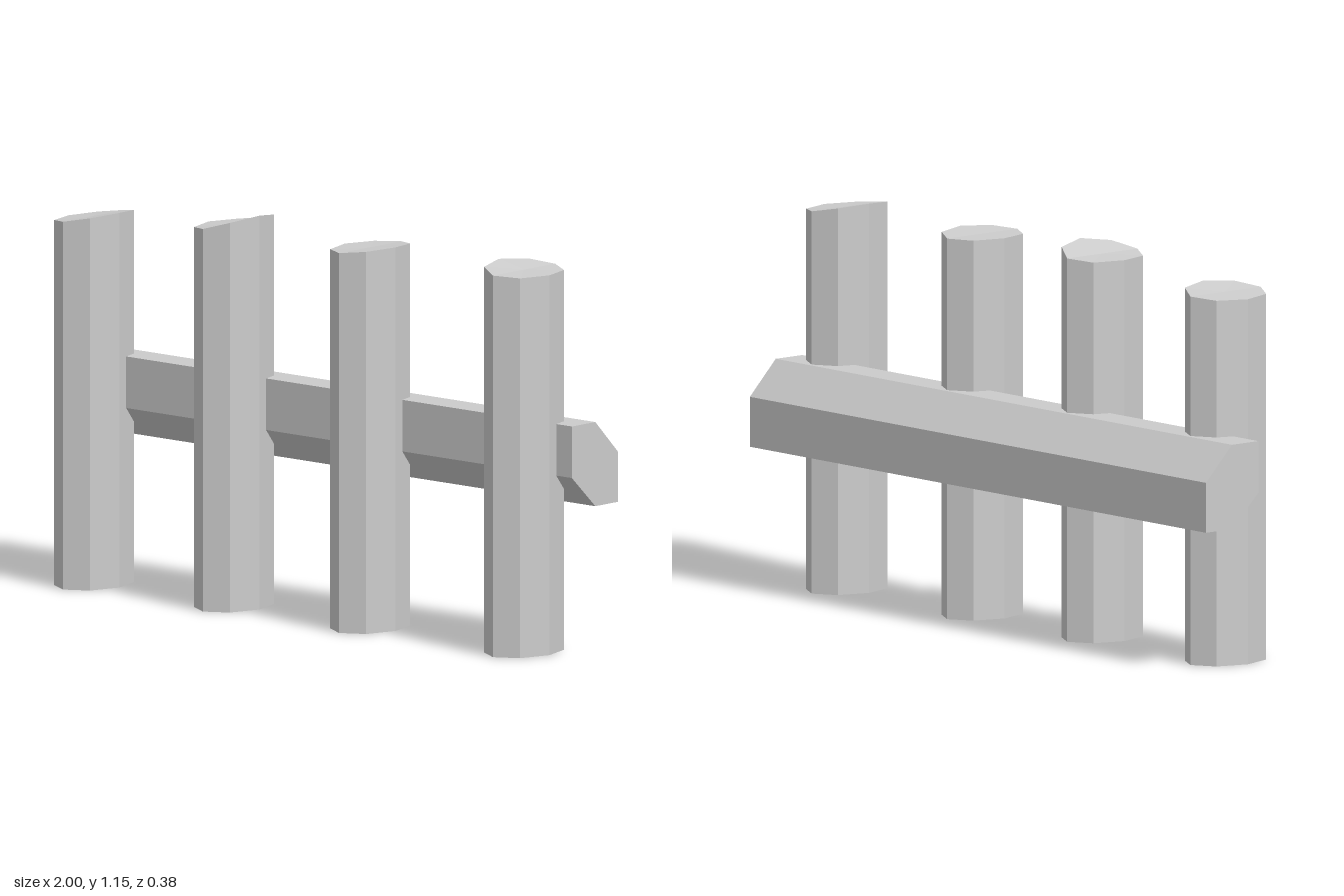
import * as THREE from 'three';

const material = new THREE.MeshStandardMaterial({ color: 0xcccccc, flatShading: true });

// Eight-sided oval post with a slanted, slightly bowed top
function createPost(x, height, slope, bow) {
  const geometry = new THREE.CylinderGeometry(1, 1, 1, 8);
  geometry.translate(0, 0.5, 0);
  const pos = geometry.attributes.position;
  for (let i = 0; i < pos.count; i++) {
    const u = pos.getX(i);
    if (pos.getY(i) > 0.5) pos.setY(i, height + slope * u + bow * u * u);
  }
  geometry.scale(0.098, 1, 0.133);
  geometry.computeVertexNormals();
  const post = new THREE.Mesh(geometry, material);
  post.position.set(x, 0, 0.054);
  return post;
}

// Horizontal rail with two chamfered long edges, profile drawn as (-z, y)
function createRail() {
  const profile = [[-0.01, 0.515], [0.09, 0.42], [0.188, 0.42], [0.188, 0.565], [0.09, 0.665], [-0.01, 0.665]];
  const shape = new THREE.Shape(profile.map(([x, y]) => new THREE.Vector2(x, y)));
  const geometry = new THREE.ExtrudeGeometry(shape, { depth: 2, bevelEnabled: false });
  geometry.translate(0, 0, -1).rotateY(Math.PI / 2);
  const rail = new THREE.Mesh(geometry, material);
  rail.name = 'rail';
  return rail;
}

export function createModel() {
  const fence = new THREE.Group();
  fence.name = 'fence';
  fence.add(createRail());

  // Posts: x, top height, slant across x, bow of the top
  const posts = [
    [-0.805, 1.07, 0.015, 0.005],
    [-0.265, 1.113, 0.02, 0.013],
    [0.261, 1.105, 0.006, 0.005],
    [0.855, 1.11, -0.0125, 0.0075],
  ];
  posts.forEach((p, i) => {
    const post = createPost(...p);
    post.name = `post${i + 1}`;
    fence.add(post);
  });
  return fence;
}
